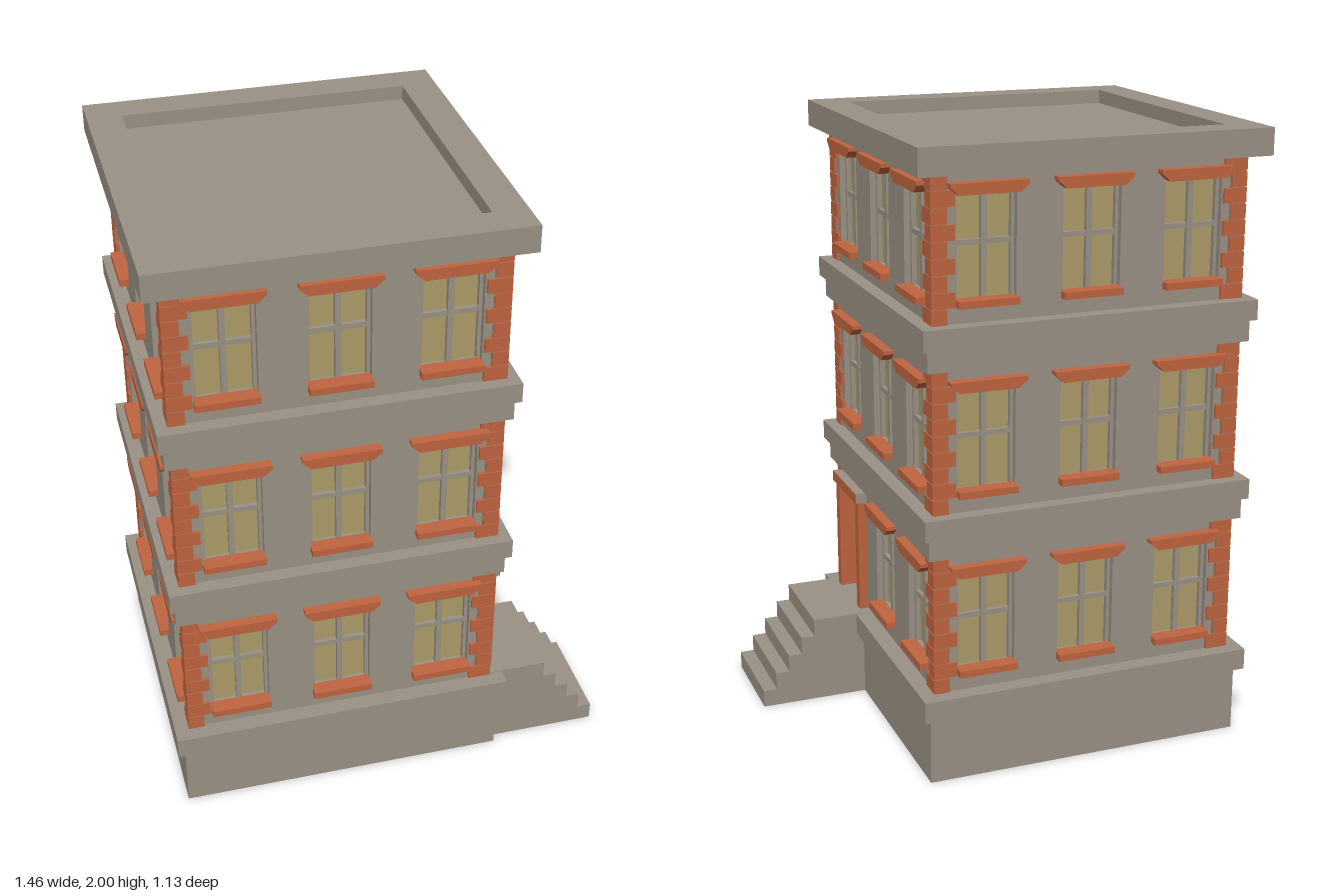
import * as THREE from 'three';

const mat = (name, color) => {
  const m = new THREE.MeshStandardMaterial({ color });
  m.name = name;
  return m;
};

export function createModel() {
  const stone = mat('stone', 0x9a9184);
  const brick = mat('brick', 0xc0643f);
  const glass = mat('glass', 0xac9c68);
  const mortar = mat('paleBrick', 0xa8745c);
  const dark = mat('darkMetal', 0x4a4640);

  const model = new THREE.Group();
  model.name = 'apartmentBuilding';
  const house = new THREE.Group();
  house.name = 'house';
  house.position.x = -0.165;
  model.add(house);

  const add = (parent, name, geo, material) => {
    const mesh = new THREE.Mesh(geo, material);
    mesh.name = name;
    parent.add(mesh);
    return mesh;
  };
  // Box given by its minimum and maximum on each axis
  const box = (parent, name, material, x0, x1, y0, y1, z0, z1) => {
    const mesh = add(parent, name, new THREE.BoxGeometry(x1 - x0, y1 - y0, z1 - z0), material);
    mesh.position.set((x0 + x1) / 2, (y0 + y1) / 2, (z0 + z1) / 2);
    return mesh;
  };
  const slab = (name, half, y0, y1) => box(house, name, stone, -half, half, y0, y1, -half, half);
  const rectPoints = (x0, x1, y0, y1) =>
    [[x0, y0], [x1, y0], [x1, y1], [x0, y1]].map(p => new THREE.Vector2(...p));

  // Plinth, storey ledges and inner core
  slab('plinth', 0.53, 0, 0.22);
  slab('plinthLedge', 0.555, 0.22, 0.29);
  slab('core', 0.455, 0.29, 1.93);
  for (const y of [0.745, 1.333]) {
    slab('ledgeLower', 0.53, y, y + 0.07);
    slab('ledgeUpper', 0.547, y + 0.07, y + 0.135);
  }

  // Roof: parapet ring around a sunken deck
  const ring = new THREE.Shape(rectPoints(-0.565, 0.565, -0.565, 0.565));
  ring.holes.push(new THREE.Path(rectPoints(-0.455, 0.455, -0.455, 0.455)));
  const parapet = add(house, 'parapet',
    new THREE.ExtrudeGeometry(ring, { depth: 0.085, bevelEnabled: false }), stone);
  parapet.rotation.x = -Math.PI / 2;
  parapet.position.y = 1.915;
  slab('roofDeck', 0.46, 1.916, 1.955);

  const bays = [-0.335, 0, 0.335];
  const floors = [0, 0.588, 1.176];
  const lintelShape = new THREE.Shape([[-0.095, 0.675], [0.095, 0.675], [0.122, 0.698],
    [0.122, 0.71], [-0.122, 0.71], [-0.122, 0.698]].map(p => new THREE.Vector2(...p)));
  const lintelGeo = new THREE.ExtrudeGeometry(lintelShape, { depth: 0.045, bevelEnabled: false });

  const addWindow = (side, x, y) => {
    const g = new THREE.Group();
    g.name = 'window';
    g.position.set(x, y, 0);
    side.add(g);
    box(g, 'pane', glass, -0.096, 0.096, 0.355, 0.68, 0.458, 0.464);
    box(g, 'mullion', stone, -0.009, 0.009, 0.36, 0.678, 0.46, 0.48);
    box(g, 'transom', stone, -0.095, 0.095, 0.52, 0.536, 0.46, 0.478);
    for (const s of [-1, 1]) {
      const c = s * 0.09;
      box(g, 'sashStile', stone, c - 0.006, c + 0.006, 0.36, 0.678, 0.46, 0.48);
    }
    box(g, 'sill', brick, -0.096, 0.096, 0.342, 0.364, 0.48, 0.53);
    add(g, 'lintel', lintelGeo, brick).position.z = 0.488;
  };

  const addDoor = (side, x) => {
    const g = new THREE.Group();
    g.name = 'door';
    g.position.x = x;
    side.add(g);
    box(g, 'doorLeaf', stone, -0.095, 0.095, 0.285, 0.685, 0.455, 0.47);
    for (const s of [-1, 1]) {
      box(g, 'doorPost', brick, s * 0.1115 - 0.0175, s * 0.1115 + 0.0175, 0.29, 0.68, 0.46, 0.53);
      const c = s * 0.042;
      for (const [y0, y1] of [[0.31, 0.36], [0.375, 0.49], [0.505, 0.665]])
        box(g, 'doorPanel', stone, c - 0.032, c + 0.032, y0, y1, 0.468, 0.477);
    }
    box(g, 'doorCap', stone, -0.135, 0.135, 0.68, 0.715, 0.48, 0.537);
    box(g, 'doorCapFace', brick, -0.135, 0.135, 0.68, 0.715, 0.537, 0.54);
    box(g, 'doorHandle', dark, 0.05, 0.064, 0.48, 0.487, 0.468, 0.487);
  };

  // Four facades; the one facing +x has the door
  for (let i = 0; i < 4; i++) {
    const side = new THREE.Group();
    side.name = ['frontSide', 'leftSide', 'backSide', 'rightSide'][i];
    side.rotation.y = i * Math.PI / 2;
    house.add(side);
    const wall = new THREE.Shape(rectPoints(-0.495, 0.495, 0.285, 1.92));
    for (const y of floors) for (const x of bays) {
      const isDoor = i === 1 && y === 0 && x < 0;
      wall.holes.push(new THREE.Path(
        rectPoints(x - 0.095, x + 0.095, isDoor ? 0.29 : y + 0.36, y + 0.68)));
      if (isDoor) addDoor(side, x);
      else addWindow(side, x, y);
    }
    add(side, 'wall', new THREE.ExtrudeGeometry(wall, { depth: 0.05, bevelEnabled: false }), stone)
      .position.z = 0.45;

    // Corner bricks, alternately long on either face
    const corner = new THREE.Group();
    corner.name = 'cornerBricks';
    side.add(corner);
    for (const [y0, y1] of [[0.29, 0.745], [0.88, 1.333], [1.468, 1.915]]) {
      const rows = 9, h = (y1 - y0) / rows;
      box(corner, 'mortarCore', mortar, 0.458, 0.507, y0, y1, 0.458, 0.507);
      for (let r = 0; r < rows; r++) {
        const a = r % 2 ? 0.05 : 0.075, b = r % 2 ? 0.075 : 0.05;
        box(corner, 'cornerBrick', brick, 0.51 - a, 0.51,
          y0 + r * h + 0.002, y0 + (r + 1) * h - 0.002, 0.51 - b, 0.51);
      }
    }
  }

  // Entrance steps as one stepped profile
  const steps = new THREE.Shape([new THREE.Vector2(0.3, 0), new THREE.Vector2(0.725, 0)]);
  for (let i = 0; i < 5; i++) {
    const x = 0.725 - i * 0.046, y = (i + 1) * 0.0584;
    steps.lineTo(x, y);
    steps.lineTo(i < 4 ? x - 0.046 : 0.3, y);
  }
  add(model, 'entranceSteps',
    new THREE.ExtrudeGeometry(steps, { depth: 0.335, bevelEnabled: false }), stone)
    .position.z = 0.167;

  return model;
}
